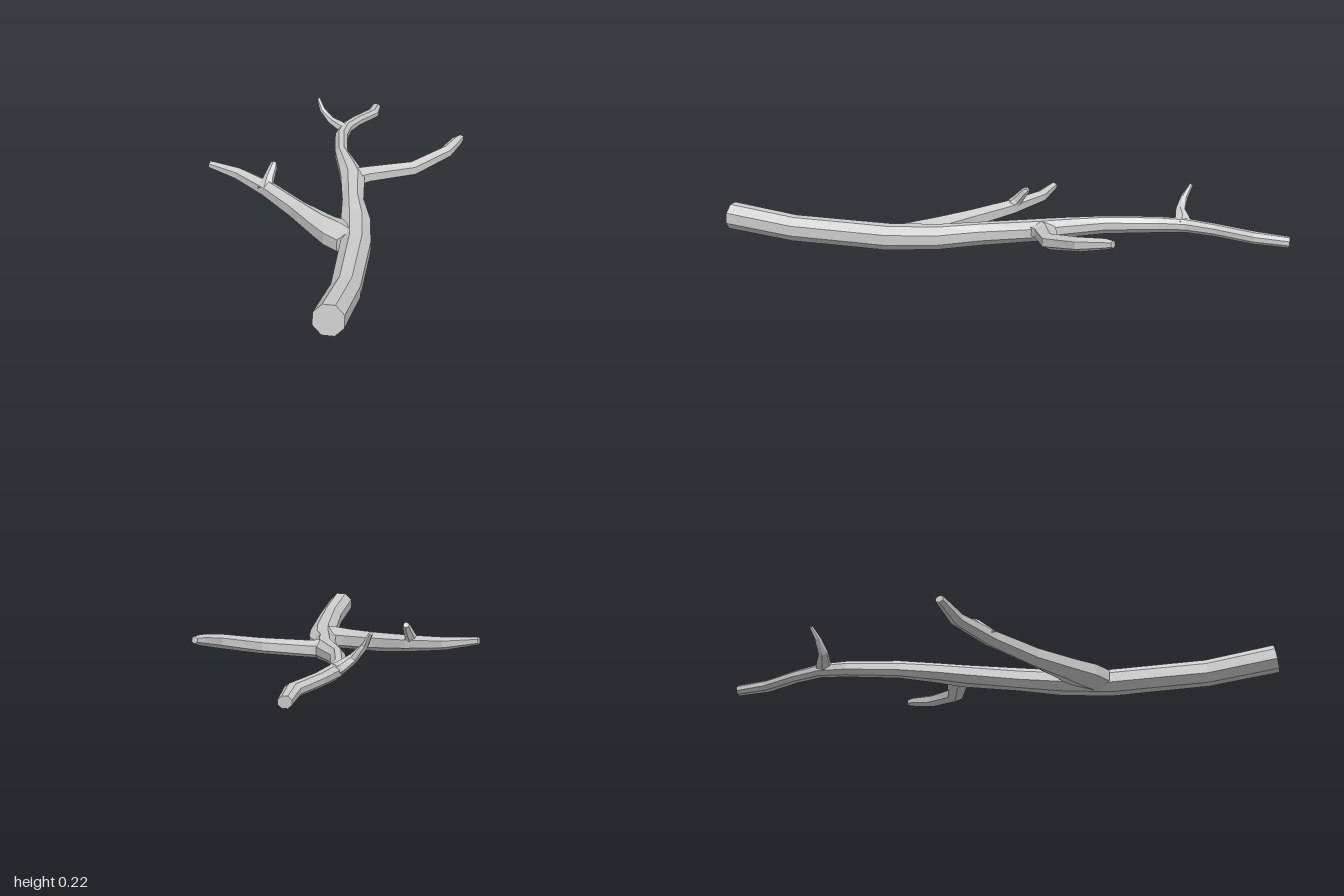
import * as THREE from 'three';

const bark = new THREE.MeshStandardMaterial({ color: 0xcccccc, flatShading: true });

// Lofts a limb through stations [x, y, z, half width, half height], capped at both ends
function limb(name, sides, stations) {
  const centres = stations.map(([x, y, z]) => new THREE.Vector3(x, y, z));
  const last = centres.length - 1;
  const grow = 1 / Math.cos(Math.PI / sides);
  const positions = [];
  const index = [];

  centres.forEach((c, i) => {
    const into = c.clone().sub(centres[Math.max(i - 1, 0)]).normalize();
    const out = centres[Math.min(i + 1, last)].clone().sub(c).normalize();
    const along = into.add(out).normalize();
    const across = new THREE.Vector3(0, 1, 0).cross(along).normalize();
    const up = along.clone().cross(across);
    const [, , , w, h] = stations[i];
    for (let j = 0; j < sides; j++) {
      const a = ((j + 0.5) / sides) * Math.PI * 2;
      const p = c.clone()
        .addScaledVector(across, Math.cos(a) * w * grow)
        .addScaledVector(up, Math.sin(a) * h * grow);
      positions.push(p.x, p.y, p.z);
    }
  });

  // Side faces
  for (let i = 0; i < last; i++) {
    for (let j = 0; j < sides; j++) {
      const a = i * sides + j;
      const b = i * sides + ((j + 1) % sides);
      index.push(a, b, b + sides, a, b + sides, a + sides);
    }
  }
  // End caps
  const top = last * sides;
  for (let j = 1; j < sides - 1; j++) {
    index.push(0, j + 1, j, top, top + j, top + j + 1);
  }

  const geometry = new THREE.BufferGeometry();
  geometry.setAttribute('position', new THREE.Float32BufferAttribute(positions, 3));
  geometry.setIndex(index);
  geometry.computeVertexNormals();
  const mesh = new THREE.Mesh(geometry, bark);
  mesh.name = name;
  return mesh;
}

export function createModel() {
  const group = new THREE.Group();
  group.name = 'branch';
  group.add(
    limb('mainStem', 8, [
      [0.088, 0.095, 0.995, 0.046, 0.046],
      [0.115, 0.064, 0.75, 0.045, 0.044],
      [0.118, 0.046, 0.4, 0.05, 0.044],
      [0.104, 0.05, 0.22, 0.051, 0.041],
      [0.083, 0.062, 0.07, 0.038, 0.039],
      [0.066, 0.079, -0.13, 0.045, 0.036],
      [0.042, 0.085, -0.22, 0.037, 0.033],
      [0.003, 0.09, -0.36, 0.025, 0.03],
      [-0.014, 0.094, -0.55, 0.025, 0.027],
      [-0.004, 0.097, -0.65, 0.024, 0.023],
      [0.03, 0.094, -0.75, 0.023, 0.021],
      [0.092, 0.089, -0.88, 0.026, 0.02],
      [0.1, 0.08, -0.995, 0.02, 0.018],
    ]),
    // Limb on the -x side, flared where it leaves the stem
    limb('rightLimb', 6, [
      [0.1, 0.047, 0.36, 0.06, 0.036],
      [0.055, 0.05, 0.31, 0.068, 0.036],
      [-0.01, 0.053, 0.25, 0.05, 0.033],
      [-0.11, 0.062, 0.14, 0.032, 0.031],
      [-0.23, 0.08, 0.01, 0.029, 0.026],
      [-0.355, 0.097, -0.09, 0.023, 0.02],
      [-0.47, 0.115, -0.13, 0.014, 0.012],
    ]),
    limb('rightLimbTwig', 6, [
      [-0.238, 0.078, 0.015, 0.03, 0.024],
      [-0.232, 0.11, -0.015, 0.018, 0.018],
      [-0.219, 0.148, -0.047, 0.013, 0.013],
      [-0.217, 0.157, -0.058, 0.01, 0.01],
    ]),
    // Limb on the +x side
    limb('leftLimb', 6, [
      [0.05, 0.08, -0.13, 0.05, 0.03],
      [0.12, 0.086, -0.162, 0.038, 0.026],
      [0.285, 0.101, -0.197, 0.028, 0.024],
      [0.41, 0.133, -0.305, 0.022, 0.021],
      [0.452, 0.15, -0.39, 0.018, 0.016],
      [0.466, 0.154, -0.415, 0.012, 0.011],
    ]),
    // Curled twig near the tip
    limb('tipTwig', 6, [
      [0.0, 0.095, -0.63, 0.034, 0.02],
      [-0.03, 0.113, -0.635, 0.025, 0.018],
      [-0.065, 0.138, -0.627, 0.016, 0.014],
      [-0.1, 0.178, -0.64, 0.011, 0.01],
      [-0.119, 0.22, -0.663, 0.006, 0.006],
    ]),
  );
  return group;
}
